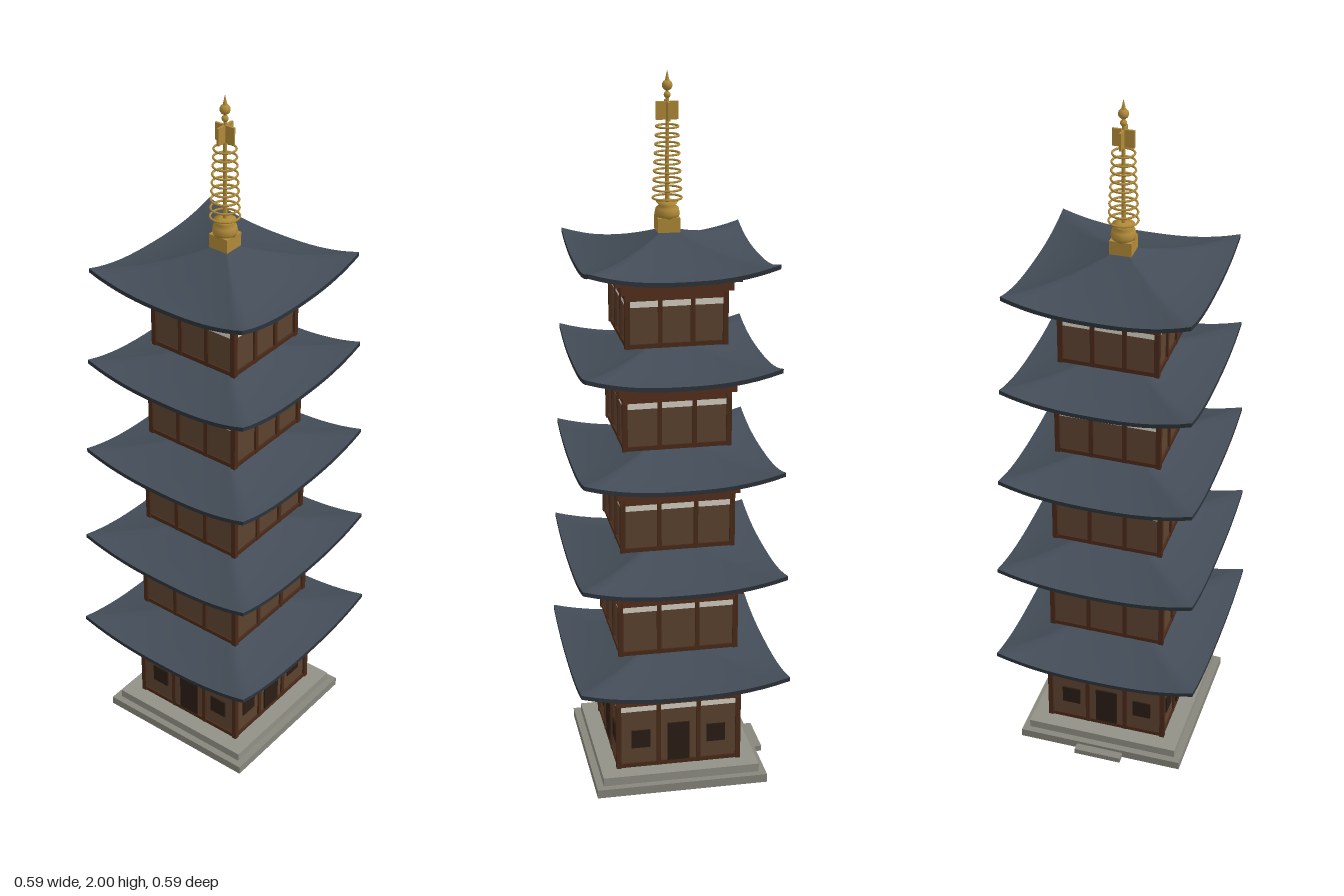
import * as THREE from 'three';

const mat = (color, extra = {}) => new THREE.MeshStandardMaterial({ color, ...extra });
const stone = mat(0x86867c), stoneTop = mat(0x919186), panel = mat(0x5c4330), timber = mat(0x4a2a1a);
const bracket = mat(0x55301d), plaster = mat(0xd8d2c4), dark = mat(0x2b1d15), gold = mat(0xb08a38);
const tile = mat(0x434c57), soffit = mat(0x22272d), tileEdge = mat(0x2c333b, { flatShading: true });

function add(parent, name, geometry, material, x = 0, y = 0, z = 0) {
  const m = new THREE.Mesh(geometry, material);
  m.name = name;
  m.position.set(x, y, z);
  parent.add(m);
  return m;
}

// Box given by its bottom and top heights
function block(parent, name, material, w, y0, y1, d, x = 0, z = 0) {
  return add(parent, name, new THREE.BoxGeometry(w, y1 - y0, d), material, x, (y0 + y1) / 2, z);
}

// Skin over square loops; each row is [half size, height at mid side, lift at corners]
function squareLoft(rows, n = 16) {
  const pos = [], index = [], cols = 4 * n;
  for (const [half, y, lift] of rows) {
    for (let k = 0; k < 4; k++) {
      for (let j = 0; j < n; j++) {
        const u = -1 + (2 * j) / n;
        let x = u, z = 1;
        for (let r = 0; r < k; r++) [x, z] = [z, -x];
        pos.push(x * half, y + lift * Math.abs(u) ** 2.5, z * half);
      }
    }
  }
  for (let i = 0; i < rows.length - 1; i++) {
    for (let j = 0; j < cols; j++) {
      const a = i * cols + j, a1 = i * cols + (j + 1) % cols;
      index.push(a, a + cols, a1 + cols, a, a1 + cols, a1);
    }
  }
  const g = new THREE.BufferGeometry();
  g.setAttribute('position', new THREE.Float32BufferAttribute(pos, 3));
  g.setIndex(index);
  g.computeVertexNormals();
  return g;
}

// Concave roof with upswept corners
function makeRoof(half, eave, apex) {
  const roof = new THREE.Group();
  roof.name = 'roof';
  const thick = 0.012, steps = 14;
  const row = (t, drop) => [half * t,
    eave + thick + (apex - eave - thick) * (1 - t) ** 1.5 - drop, 0.034 * t * t];
  const top = [], under = [];
  for (let i = 0; i <= steps; i++) {
    const t = 0.02 + 0.98 * i / steps;
    top.push(row(t, 0));
    under.unshift(row(t, thick));
  }
  add(roof, 'roofTiles', squareLoft(top), tile);
  add(roof, 'eaveEdge', squareLoft([row(1, 0), row(1, thick)]), tileEdge);
  add(roof, 'soffit', squareLoft(under), soffit);
  return roof;
}

// One timber storey with the same four walls
function makeStorey(half, base, eave, isGround) {
  const storey = new THREE.Group();
  storey.name = 'storey';
  const wall = half - 0.008, post = 0.014, stripTop = eave - 0.066;
  block(storey, 'wallCore', panel, wall * 2, base, eave - 0.02, wall * 2);
  block(storey, 'lowerBracketTier', bracket, (half + 0.012) * 2, eave - 0.045, eave - 0.018, (half + 0.012) * 2);
  block(storey, 'upperBracketTier', bracket, (half + 0.03) * 2, eave - 0.018, eave + 0.012, (half + 0.03) * 2);
  for (let k = 0; k < 4; k++) {
    const side = new THREE.Group();
    side.name = 'wallSide';
    side.rotation.y = k * Math.PI / 2;
    storey.add(side);
    block(side, 'sillBeam', timber, wall * 2, base, base + 0.012, 0.01, 0, wall);
    block(side, 'headBeam', bracket, half * 2, stripTop, eave - 0.04, 0.014, 0, wall);
    block(side, 'plasterStrip', plaster, wall * 2 - 0.01, stripTop - 0.018, stripTop, 0.006, 0, wall);
    const p = half - post / 2;
    block(side, 'cornerPost', timber, post, base, eave - 0.03, post, -p, p);
    for (const s of [-1, 1]) {
      block(side, 'wallPost', timber, post * 0.85, base, eave - 0.04, 0.012, s * p / 3, wall);
      if (isGround) block(side, 'window', dark, 0.054, 0.11, 0.165, 0.008, s * 0.109, wall);
    }
    if (isGround) block(side, 'door', dark, 0.064, base + 0.012, 0.18, 0.01, 0, wall);
  }
  return storey;
}

// Gilded spire
function makeSpire() {
  const spire = new THREE.Group();
  spire.name = 'spire';
  block(spire, 'spireBase', gold, 0.06, 1.573, 1.612, 0.06);
  const bowl = [[0.0, 1.608], [0.03, 1.608], [0.034, 1.62], [0.031, 1.635], [0.022, 1.642],
    [0.03, 1.652], [0.012, 1.656], [0, 1.657]];
  add(spire, 'spireBowl', new THREE.LatheGeometry(bowl.map(([r, y]) => new THREE.Vector2(r, y)), 24), gold);
  add(spire, 'spirePole', new THREE.CylinderGeometry(0.004, 0.006, 0.35, 10), gold, 0, 1.805, 0);
  for (let i = 0; i < 9; i++) {
    const r = 0.039 - 0.0012 * i;
    add(spire, 'spireRing', new THREE.TorusGeometry(r, 0.003, 6, 28), gold, 0, 1.662 + i * 0.0238, 0)
      .rotation.x = Math.PI / 2;
  }
  // Crossed ornament plates
  block(spire, 'ornamentPlate', gold, 0.06, 1.87, 1.918, 0.006);
  block(spire, 'ornamentPlate', gold, 0.006, 1.87, 1.918, 0.06);
  add(spire, 'lowerBall', new THREE.SphereGeometry(0.009, 14, 10), gold, 0, 1.935, 0);
  add(spire, 'upperBall', new THREE.SphereGeometry(0.014, 16, 12), gold, 0, 1.96, 0);
  add(spire, 'spireTip', new THREE.ConeGeometry(0.007, 0.032, 10), gold, 0, 1.984, 0);
  return spire;
}

export function createModel() {
  const model = new THREE.Group();
  model.name = 'pagoda';

  // Stone platform with a rear step
  block(model, 'platformLower', stone, 0.49, 0, 0.025, 0.49);
  block(model, 'platformUpper', stoneTop, 0.45, 0.025, 0.05, 0.45);
  block(model, 'platformStep', stone, 0.14, 0, 0.016, 0.06, 0, -0.24);

  // Five storeys, each a little smaller: [floor, eave, roof top]
  const levels = [[0.05, 0.31, 0.403], [0.4, 0.615, 0.714], [0.71, 0.915, 1.007],
    [1.003, 1.205, 1.292], [1.288, 1.485, 1.585]];
  levels.forEach(([base, eave, apex], i) => {
    model.add(makeStorey(0.18 - 0.01 * i, base, eave, i === 0));
    model.add(makeRoof(0.293 - 0.0102 * i, eave, apex));
  });

  model.add(makeSpire());
  return model;
}
